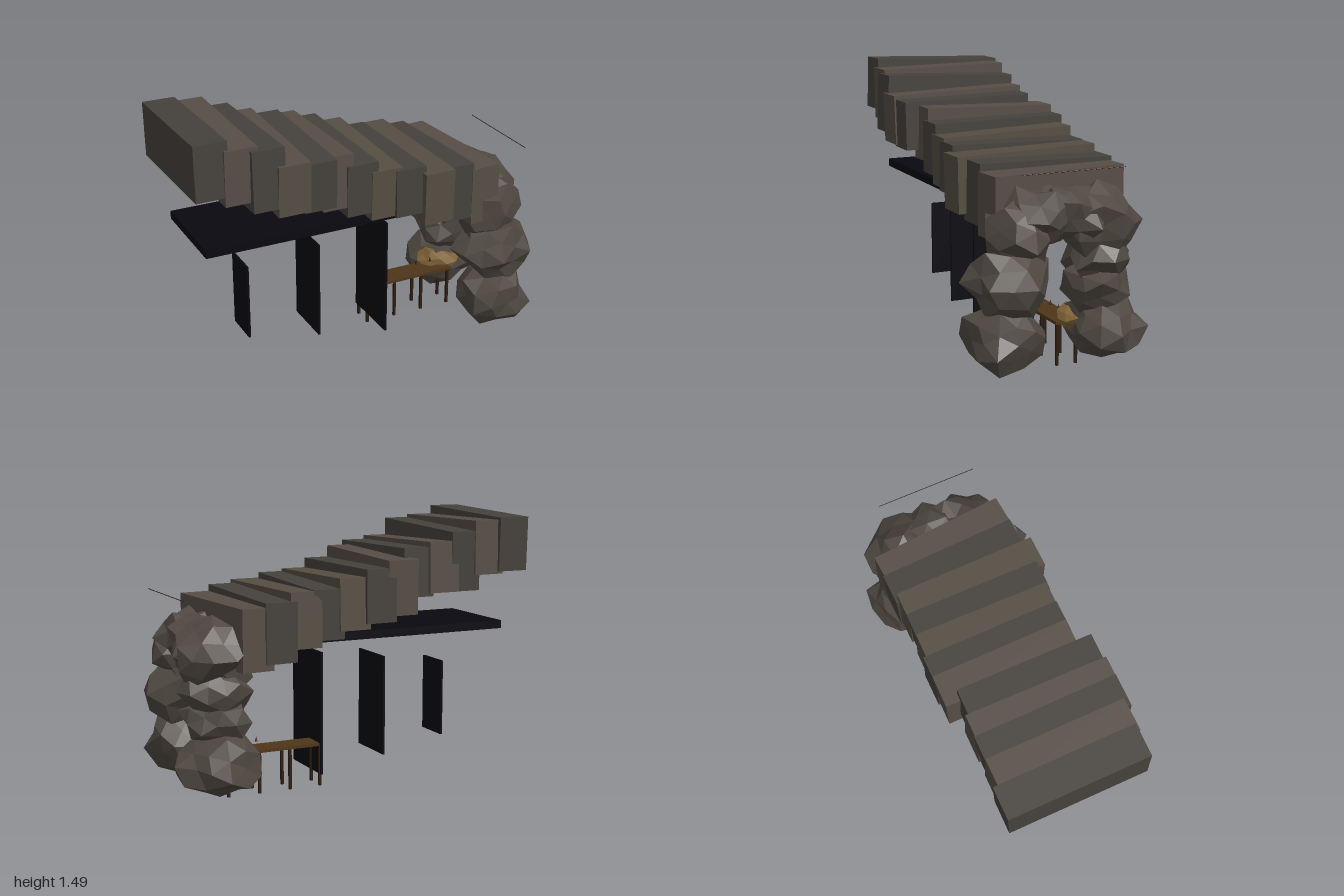
import * as THREE from 'three';

const mat = (color, side = THREE.FrontSide) =>
  new THREE.MeshStandardMaterial({ color, flatShading: true, side });

const brown = mat(0x564d45), dark = mat(0x45413c), olive = mat(0x544d42);
const stone = mat(0x4f4841), goldStone = mat(0x7d6236), black = mat(0x08080f, THREE.DoubleSide);
const tableWood = mat(0x4e3519), legWood = mat(0x2b1d10);

function add(parent, name, geometry, material, x, y, z) {
  const mesh = new THREE.Mesh(geometry, material);
  mesh.name = name;
  mesh.position.set(x, y, z);
  parent.add(mesh);
  return mesh;
}

// Repeatable value in 0..1 from a position and a seed
function hash(x, y, z, seed) {
  const s = Math.sin(x * 12.99 + y * 78.23 + z * 37.72 + seed * 17.31) * 43758.5453;
  return s - Math.floor(s);
}

// Faceted boulder: icosphere with its corners pushed in and out by a roughness
function rockGeometry(radius, height, rough, seed) {
  const geometry = new THREE.IcosahedronGeometry(1, 1);
  const p = geometry.attributes.position;
  const v = new THREE.Vector3();
  for (let i = 0; i < p.count; i++) {
    v.fromBufferAttribute(p, i);
    const [a, b, c] = v.toArray().map((n) => Math.round(n * 100) / 100 + 0);
    v.multiplyScalar(1.08 - rough * hash(a, b, c, seed));
    p.setXYZ(i, v.x * radius, v.y * height, v.z * radius);
  }
  geometry.computeVertexNormals();
  return geometry;
}

export function createModel() {
  const model = new THREE.Group();
  model.name = 'caveTunnel';

  // Everything is laid out along z (the passage) and turned diagonally
  const passage = new THREE.Group();
  passage.name = 'passage';
  passage.rotation.y = -Math.PI / 4;
  model.add(passage);

  // Stepped roof slabs: x min, x max, y top, height, z centre, roll, yaw, material
  const slabs = [
    [-0.40, 0.37, 1.475, 0.30, 0.925, 0.033, 0, dark],
    [-0.38, 0.38, 1.443, 0.30, 0.775, -0.015, 0.01, brown],
    [-0.37, 0.41, 1.405, 0.33, 0.635, 0.035, 0, dark],
    [-0.37, 0.42, 1.330, 0.28, 0.500, -0.03, 0, brown],
    [-0.35, 0.41, 1.305, 0.27, 0.350, -0.02, 0, dark],
    [-0.424, 0.335, 1.268, 0.30, 0.215, 0.025, 0, brown],
    [-0.427, 0.345, 1.214, 0.29, 0.080, -0.01, 0.01, dark],
    [-0.41, 0.35, 1.165, 0.28, -0.065, -0.03, 0, olive],
    [-0.40, 0.365, 1.130, 0.27, -0.210, 0.02, -0.01, dark],
    [-0.405, 0.40, 1.110, 0.30, -0.355, -0.02, 0.02, olive],
    [-0.42, 0.35, 1.080, 0.32, -0.505, 0.02, 0.03, dark],
    [-0.42, 0.345, 1.050, 0.33, -0.655, 0, 0.08, brown],
  ];
  slabs.forEach(([x0, x1, top, h, z, roll, yaw, m], i) => {
    const slab = add(passage, `roofSlab${i + 1}`, new THREE.BoxGeometry(x1 - x0, h, 0.18), m,
      (x0 + x1) / 2, top - h / 2, z);
    slab.rotation.set(0, yaw, roll);
  });

  // Boulders forming the entrance arch: x, y, z, radius, half height, roughness
  const rocks = [
    [0.30, 0.235, -0.79, 0.23, 0.20, 0.36], [0.28, 0.52, -0.79, 0.235, 0.20, 0.36],
    [0.21, 0.75, -0.79, 0.22, 0.20, 0.42], [0.10, 0.84, -0.80, 0.20, 0.18, 0.42],
    [-0.27, 0.225, -0.79, 0.23, 0.19, 0.36], [-0.23, 0.45, -0.79, 0.20, 0.16, 0.4],
    [-0.23, 0.61, -0.79, 0.20, 0.18, 0.42], [-0.22, 0.79, -0.80, 0.235, 0.22, 0.42],
    [-0.07, 0.84, -0.82, 0.19, 0.17, 0.42],
  ];
  rocks.forEach(([x, y, z, r, h, rough], i) => {
    const rock = add(passage, `archRock${i + 1}`, rockGeometry(r, h, rough, i + 1), stone, x, y, z);
    rock.rotation.y = i * 1.3;
  });

  // Warm coloured rock at the end of the table
  add(passage, 'goldRock', rockGeometry(0.135, 0.075, 0.25, 11), goldStone, -0.18, 0.255, -0.70);

  // Inner ceiling and the receding dark panels
  add(passage, 'ceiling', new THREE.BoxGeometry(0.54, 0.045, 1.18), black, 0, 0.842, 0.35);
  const panels = [[0.37, 0.065, 0.75, -0.156], [0.30, 0.125, 0.69, 0.247], [0.21, 0.19, 0.625, 0.65]];
  panels.forEach(([w, y0, y1, z], i) => {
    add(passage, `depthPanel${i + 1}`, new THREE.BoxGeometry(w, y1 - y0, 0.012), black,
      0, (y0 + y1) / 2, z);
  });

  // Long table with four pairs of legs
  const table = new THREE.Group();
  table.name = 'table';
  table.position.set(-0.108, 0, -0.43);
  passage.add(table);
  add(table, 'tableTop', new THREE.BoxGeometry(0.14, 0.016, 0.55), tableWood, 0, 0.235, -0.012);
  const legGeometry = new THREE.BoxGeometry(0.015, 0.228, 0.015);
  for (let i = 0; i < 4; i++) {
    for (const side of [-1, 1]) {
      add(table, 'tableLeg', legGeometry, legWood, side * 0.055, 0.114, 0.27 - i * 0.18);
    }
  }

  // Small flames above the table
  const flameGeometry = new THREE.ConeGeometry(0.008, 0.03, 6);
  [-0.085, -0.18, -0.27].forEach((z) => {
    add(table, 'flame', flameGeometry, legWood, 0, 0.29, z);
  });

  // Thin rod over the entrance
  const rod = add(passage, 'entranceRod', new THREE.CylinderGeometry(0.002, 0.002, 0.57, 6), legWood,
    0, 1.09, -0.975);
  rod.rotation.z = Math.PI / 2;

  return model;
}
